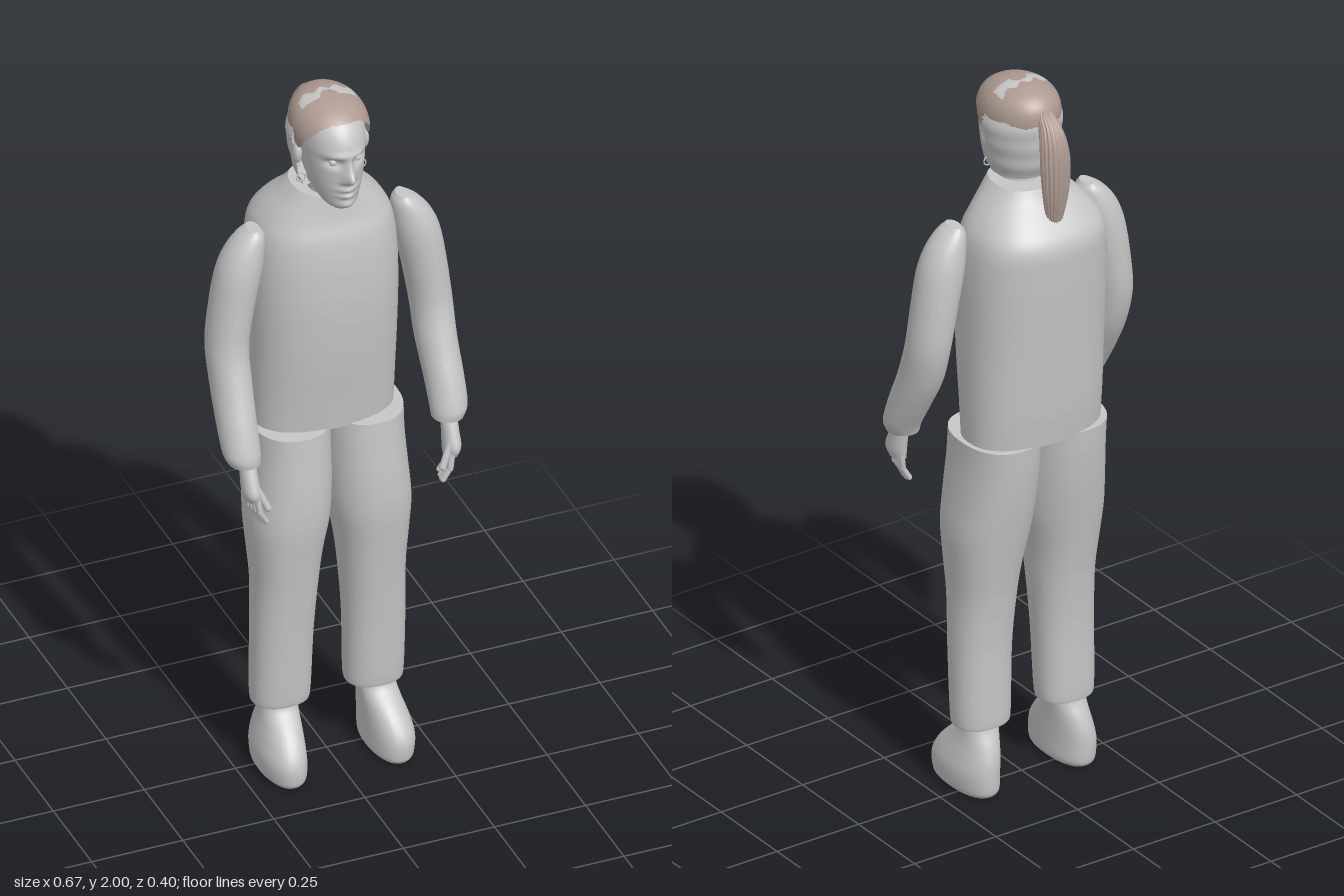
import * as THREE from 'three';

const grey = new THREE.MeshStandardMaterial({ color: 0xc6c6c6, side: THREE.DoubleSide });
grey.name = 'plain grey';
const brown = new THREE.MeshStandardMaterial({ color: 0xae9b92, side: THREE.DoubleSide });
brown.name = 'hair brown';

// Smooth skin over horizontal rings [y, centreX, centreZ, radiusX, radiusZ], listed upwards.
// power squares the rings, warp moves points, keep filters triangles by their centre.
function loft(rings, { rows = 30, cols = 36, power = 2, mirror = 1, caps = true, warp, keep } = {}) {
  const centre = new THREE.CatmullRomCurve3(rings.map(r => new THREE.Vector3(r[1] * mirror, r[0], r[2])), false, 'catmullrom');
  const radius = new THREE.CatmullRomCurve3(rings.map(r => new THREE.Vector3(r[3], 0, r[4])), false, 'catmullrom');
  const bend = v => Math.sign(v) * Math.abs(v) ** (2 / power);
  const points = [], index = [];
  for (let i = 0; i <= rows; i++) {
    const c = centre.getPoint(i / rows), r = radius.getPoint(i / rows);
    for (let j = 0; j < cols; j++) {
      const a = j / cols * Math.PI * 2;
      const p = new THREE.Vector3(c.x + r.x * bend(Math.cos(a)), c.y, c.z + r.z * bend(Math.sin(a)));
      if (warp) warp(p, a);
      points.push(p);
    }
  }
  const face = (a, b, c) => {
    const m = points[a].clone().add(points[b]).add(points[c]).divideScalar(3);
    if (!keep || keep(m)) index.push(a, b, c);
  };
  for (let i = 0; i < rows; i++) for (let j = 0; j < cols; j++) {
    const k = (j + 1) % cols, a = i * cols + j, b = i * cols + k;
    face(a, a + cols, b);
    face(b, a + cols, b + cols);
  }
  if (caps) for (const top of [false, true]) {
    const start = points.length, from = top ? rows * cols : 0;
    for (let j = 0; j < cols; j++) points.push(points[from + j].clone());
    points.push(centre.getPoint(top ? 1 : 0));
    for (let j = 0; j < cols; j++) {
      const a = start + j, b = start + (j + 1) % cols;
      top ? face(start + cols, b, a) : face(start + cols, a, b);
    }
  }
  const g = new THREE.BufferGeometry().setFromPoints(points);
  g.setIndex(index);
  g.computeVertexNormals();
  return g;
}

// Rounded rod between two points
function rod(p, q, r) {
  const a = new THREE.Vector3(...p), b = new THREE.Vector3(...q), d = b.clone().sub(a);
  const g = new THREE.CapsuleGeometry(r, d.length(), 5, 10);
  g.applyQuaternion(new THREE.Quaternion().setFromUnitVectors(new THREE.Vector3(0, 1, 0), d.normalize()));
  return g.translate(...a.add(b).multiplyScalar(0.5).toArray());
}

const bump = (p, x, y, w, h) => Math.exp(-(((p.x - x) / w) ** 2) - ((p.y - y) / h) ** 2);

// Nose, brow, eyes, lips and chin raised on the front of the head
function sculptFace(p) {
  if (p.z < 0.05) return;
  let d = 0.034 * bump(p, 0, 1.825, 0.014, 0.018) + 0.014 * bump(p, 0, 1.855, 0.011, 0.022);
  d += 0.011 * bump(p, 0, 1.786, 0.026, 0.008) + 0.011 * bump(p, 0, 1.765, 0.022, 0.007);
  d += 0.008 * bump(p, 0, 1.735, 0.022, 0.012);
  for (const s of [-1, 1]) {
    d += 0.006 * bump(p, s * 0.03, 1.888, 0.026, 0.009) - 0.016 * bump(p, s * 0.034, 1.864, 0.02, 0.012);
    d += 0.006 * bump(p, s * 0.015, 1.813, 0.008, 0.008);
  }
  p.z += d;
}

export function createModel() {
  const model = new THREE.Group();
  model.name = 'standingFigure';
  const add = (name, geometry, material = grey, parent = model) => {
    const m = new THREE.Mesh(geometry, material);
    m.name = name;
    parent.add(m);
    return m;
  };

  // Jacket body, tapering to the collar
  add('torso', loft([
    [1.02, 0, -0.04, 0.19, 0.118], [1.12, 0, -0.04, 0.192, 0.13], [1.25, 0, -0.037, 0.194, 0.143],
    [1.4, 0, -0.037, 0.196, 0.154], [1.52, 0, -0.042, 0.194, 0.157], [1.6, 0, -0.047, 0.184, 0.153],
    [1.65, 0, -0.04, 0.158, 0.13], [1.7, 0, -0.02, 0.115, 0.1], [1.73, 0, -0.013, 0.09, 0.088],
  ], { power: 2.4, cols: 48 }));

  // Neck and head
  add('neck', loft([[1.68, 0, 0.01, 0.06, 0.07], [1.74, 0, 0.015, 0.056, 0.065], [1.8, 0, 0.02, 0.06, 0.065]]));
  const skull = [
    [1.715, 0, 0.095, 0.025, 0.025], [1.73, 0, 0.075, 0.045, 0.058], [1.765, 0, 0.05, 0.062, 0.09],
    [1.81, 0, 0.034, 0.074, 0.11], [1.86, 0, 0.026, 0.081, 0.12], [1.9, 0, 0.023, 0.083, 0.124],
    [1.94, 0, 0.015, 0.08, 0.115], [1.97, 0, 0.008, 0.066, 0.092], [1.985, 0, 0.003, 0.045, 0.062], [1.992, 0, 0, 0.004, 0.004],
  ];
  add('head', loft(skull, { rows: 80, cols: 96, warp: sculptFace }));

  // Rounded shell behind the ears, with shallow horizontal bands
  add('headBack', loft([
    [1.75, 0, 0.01, 0.078, 0.085], [1.79, 0, 0.01, 0.09, 0.102], [1.84, 0, 0.01, 0.1, 0.112],
    [1.885, 0, 0.008, 0.106, 0.116], [1.93, 0, 0.004, 0.094, 0.11], [1.965, 0, 0, 0.07, 0.085],
  ], {
    rows: 32, cols: 64, keep: m => m.z < 0.025,
    warp: p => { const s = 1 + 0.012 * Math.sin(p.y * 110); p.x *= s; p.z *= s; },
  }));

  // Hair cap, with the bare strip across the crown cut from the same skin
  const cap = [
    [1.84, 0, 0.025, 0.088, 0.122], [1.88, 0, 0.02, 0.096, 0.126], [1.92, 0, 0.014, 0.1, 0.126],
    [1.955, 0, 0.008, 0.09, 0.113], [1.98, 0, 0.003, 0.068, 0.085], [1.995, 0, 0, 0.035, 0.045], [2, 0, 0, 0.002, 0.002],
  ];
  const bare = m => m.y > 1.95 && Math.abs(m.x) < 0.075 && m.z < 0.02
    && m.z > -0.016 + 0.007 * Math.sin(m.x * 150) && Math.hypot(m.x, m.z - 0.02) > 0.024;
  const haired = m => m.y > (m.z > 0.02
    ? 1.855 + Math.max(0, m.z - 0.03) * 1.35 + 0.005 * Math.sin(m.z * 200)
    : 1.915 + 0.006 * Math.sin(m.z * 90));
  const fine = { rows: 70, cols: 96, caps: false };
  add('hairCap', loft(cap, { ...fine, keep: m => haired(m) && !bare(m) }), brown);
  add('bareCrown', loft(cap, { ...fine, keep: m => haired(m) && bare(m) }));

  // Ponytail with grooved strands
  add('ponytail', loft([
    [1.63, 0, -0.15, 0.008, 0.007], [1.67, 0, -0.148, 0.022, 0.017], [1.74, 0, -0.152, 0.034, 0.026],
    [1.82, 0, -0.151, 0.039, 0.031], [1.88, 0, -0.142, 0.034, 0.032], [1.92, 0, -0.125, 0.026, 0.03],
    [1.945, 0, -0.105, 0.019, 0.022], [1.955, 0, -0.095, 0.008, 0.01],
  ], { cols: 72, warp: (p, a) => { p.x *= 1 + 0.07 * Math.cos(a * 18); p.z += 0.002 * Math.cos(a * 18) * Math.sin(a); } }), brown);

  for (const s of [1, -1]) {
    const side = s > 0 ? 'left' : 'right';

    // Ear and thin hanging loop
    const ear = add(side + 'Ear', new THREE.SphereGeometry(1, 14, 12));
    ear.scale.set(0.012, 0.03, 0.018);
    ear.position.set(s * 0.092, 1.85, 0.025);
    const loop = add(side + 'Earring', new THREE.TorusGeometry(0.012, 0.002, 6, 18));
    loop.position.set(s * 0.083, 1.775, 0.03);

    // Eye
    const eye = add(side + 'Eye', new THREE.SphereGeometry(0.011, 14, 10));
    eye.position.set(s * 0.033, 1.863, 0.119);

    // Sleeve, bending forward below the elbow
    add(side + 'Arm', loft([
      [1.02, 0.279, 0.125, 0.042, 0.045], [1.05, 0.284, 0.118, 0.049, 0.052], [1.12, 0.284, 0.085, 0.051, 0.062],
      [1.21, 0.281, 0.042, 0.053, 0.068], [1.31, 0.279, 0.012, 0.055, 0.066], [1.42, 0.264, 0.006, 0.058, 0.066],
      [1.52, 0.245, 0.006, 0.06, 0.064], [1.58, 0.229, 0.006, 0.052, 0.055], [1.62, 0.213, 0.006, 0.036, 0.043],
      [1.64, 0.205, 0.006, 0.016, 0.028],
    ], { mirror: s, rows: 40 }));

    // Hand: palm, four fingers and a thumb
    const hand = new THREE.Group();
    hand.name = side + 'Hand';
    model.add(hand);
    add('palm', loft([
      [0.925, 0.272, 0.158, 0.018, 0.03], [0.95, 0.275, 0.16, 0.023, 0.036],
      [0.985, 0.276, 0.15, 0.022, 0.032], [1.03, 0.276, 0.135, 0.022, 0.025],
    ], { mirror: s, rows: 14, cols: 24 }), grey, hand);
    for (let i = 0; i < 4; i++) {
      const z = 0.135 + i * 0.016, x = 0.276 - i * 0.003, tip = 0.855 + 0.006 * Math.abs(i - 1.5);
      add('fingerBase', rod([s * x, 0.935, z], [s * (x - 0.006), 0.895, z + 0.003], 0.0085), grey, hand);
      add('fingerTip', rod([s * (x - 0.006), 0.895, z + 0.003], [s * (x - 0.024), tip, z], 0.0075), grey, hand);
    }
    add('thumb', rod([s * 0.266, 0.965, 0.175], [s * 0.24, 0.905, 0.187], 0.0095), grey, hand);

    // Trouser leg
    add(side + 'Leg', loft([
      [0.19, 0.128, -0.003, 0.07, 0.058], [0.21, 0.128, -0.002, 0.078, 0.065], [0.4, 0.126, 0.004, 0.081, 0.074],
      [0.55, 0.12, 0.005, 0.085, 0.088], [0.65, 0.118, 0.003, 0.094, 0.102], [0.75, 0.112, -0.001, 0.107, 0.117],
      [0.85, 0.105, -0.01, 0.107, 0.127], [0.95, 0.101, -0.02, 0.104, 0.131], [1.025, 0.101, -0.026, 0.103, 0.132],
    ], { mirror: s, power: 2.3, rows: 36 }));

    // Shoe
    add(side + 'Foot', loft([
      [0, 0.147, 0.035, 0.048, 0.108], [0.015, 0.147, 0.034, 0.058, 0.118], [0.06, 0.148, 0.033, 0.06, 0.12],
      [0.1, 0.144, 0.024, 0.056, 0.108], [0.14, 0.138, 0.011, 0.051, 0.083], [0.175, 0.134, 0, 0.049, 0.055],
      [0.21, 0.132, 0, 0.05, 0.045],
    ], { mirror: s, power: 2.2 }));
  }
  return model;
}
